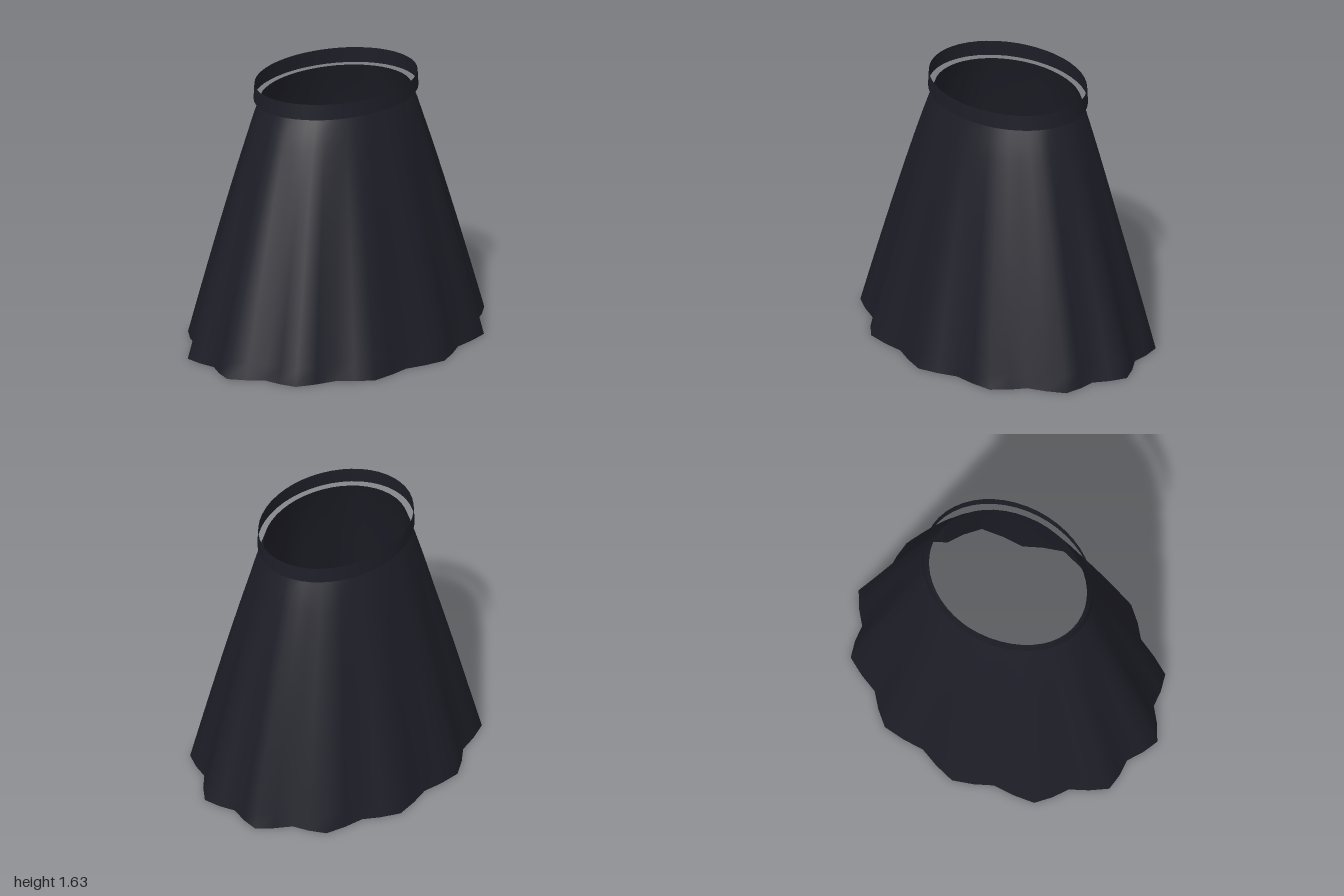
import * as THREE from 'three';
import { mergeVertices } from 'three/addons/utils/BufferGeometryUtils.js';

const DEPTH = 0.783;      // oval: depth relative to width
const SKIRT_TOP = 1.53;
const SEGMENTS = 48;

// Flared cloth: an open tube whose twelve folds deepen towards the hem
function skirtGeometry() {
  const geo = new THREE.CylinderGeometry(1, 1, SKIRT_TOP, SEGMENTS, 16, true);
  geo.translate(0, SKIRT_TOP / 2, 0);
  const pos = geo.attributes.position;
  for (let i = 0; i < pos.count; i++) {
    const y = pos.getY(i);
    const angle = Math.atan2(pos.getZ(i), pos.getX(i));
    const drop = Math.max(0, 1 - y / SKIRT_TOP);
    const radius = 0.5 + 0.468 * Math.pow(drop, 0.9) - 0.041 * drop * Math.sin(12 * angle);
    pos.setXYZ(i, radius * Math.cos(angle), y, radius * Math.sin(angle) * DEPTH);
  }
  // Weld the seam so the shading is smooth all round
  geo.deleteAttribute('uv');
  geo.deleteAttribute('normal');
  const welded = mergeVertices(geo, 1e-4);
  welded.computeVertexNormals();
  return welded;
}

// Thin oval band standing clear of the skirt's upper edge
function waistbandGeometry() {
  const bottom = 1.532, top = 1.628;
  const geo = new THREE.CylinderGeometry(0.537, 0.543, top - bottom, SEGMENTS, 1, true);
  geo.translate(0, (top + bottom) / 2, 0);
  geo.scale(1, 1, DEPTH);
  return geo;
}

export function createModel() {
  const cloth = new THREE.MeshStandardMaterial({ color: 0x1e1e28, side: THREE.DoubleSide });
  cloth.name = 'dark cloth';

  const group = new THREE.Group();
  group.name = 'flaredSkirt';

  const skirt = new THREE.Mesh(skirtGeometry(), cloth);
  skirt.name = 'skirt';
  const waistband = new THREE.Mesh(waistbandGeometry(), cloth);
  waistband.name = 'waistband';

  group.add(skirt, waistband);
  return group;
}
